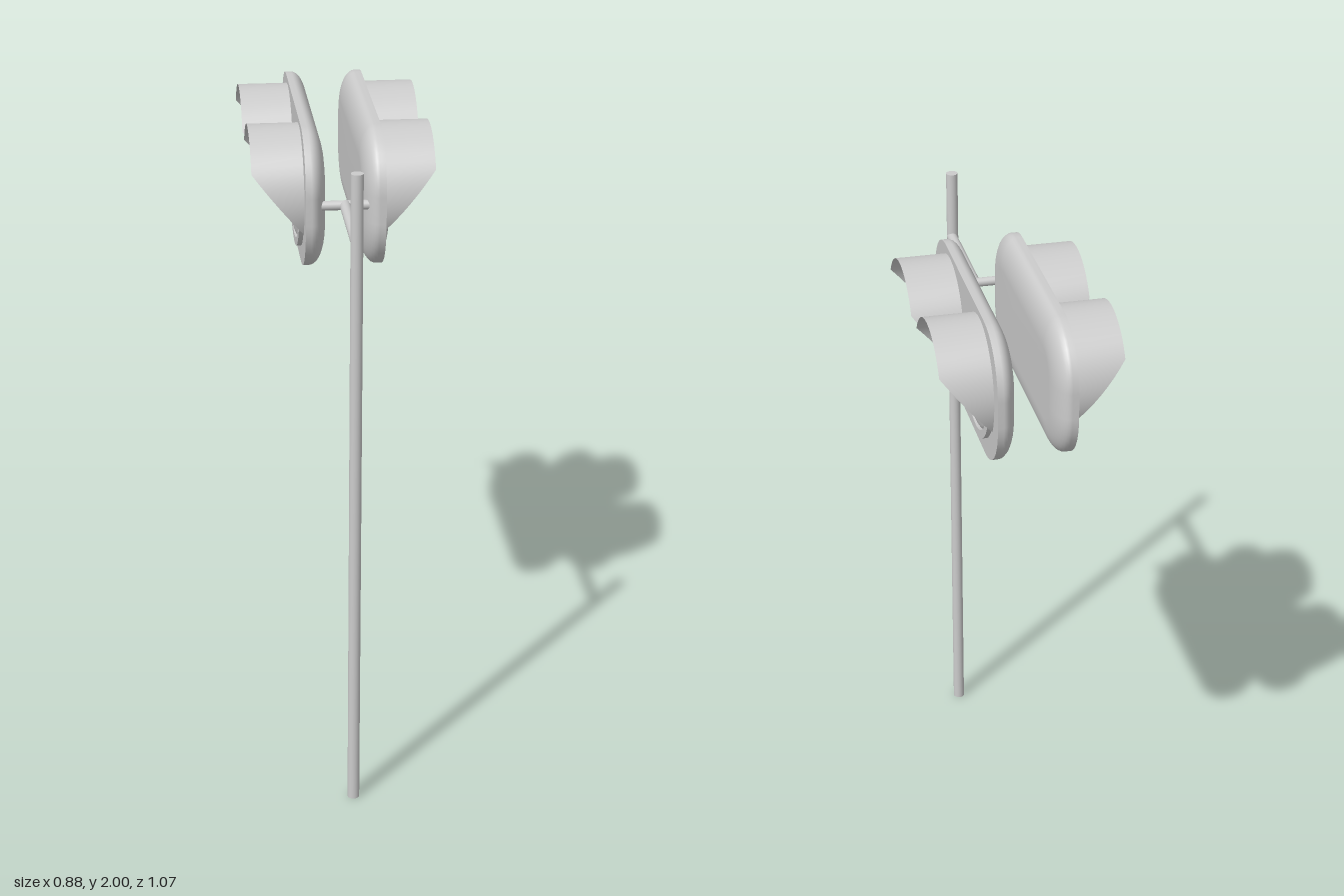
import * as THREE from 'three';

const grey = new THREE.MeshStandardMaterial({ color: 0xcccccc });
const thin = new THREE.MeshStandardMaterial({ color: 0xcccccc, side: THREE.DoubleSide });

function add(parent, name, geometry, material = grey) {
  const mesh = new THREE.Mesh(geometry, material);
  mesh.name = name;
  parent.add(mesh);
  return mesh;
}

// Counter-clockwise rounded rectangle, drawn in by an inset
function outline(inset) {
  const halfW = 0.433, halfH = 0.21, corner = 0.17, steps = 10, points = [];
  for (let c = 0; c < 4; c++) {
    const sx = c === 0 || c === 3 ? 1 : -1, sy = c < 2 ? 1 : -1;
    for (let k = 0; k <= steps; k++) {
      const t = (c + k / steps) * Math.PI / 2;
      points.push(new THREE.Vector2(
        sx * (halfW - corner) + (corner - inset) * Math.cos(t),
        sy * (halfH - corner) + (corner - inset) * Math.sin(t)));
    }
  }
  return points;
}

// Housing shell: short straight wall, then an elliptical shoulder to the back
function shellGeometry() {
  const sections = [[0, 0], [0, -0.018]];
  for (let k = 1; k <= 10; k++) {
    const t = k / 10 * Math.PI / 2;
    sections.push([0.1 * (1 - Math.cos(t)), -0.018 - 0.046 * Math.sin(t)]);
  }
  const pos = [], index = [];
  let n = 0;
  for (const [inset, z] of sections) {
    const ring = outline(inset);
    n = ring.length;
    for (const p of ring) pos.push(p.x, p.y, z);
  }
  const last = (sections.length - 1) * n, centre = pos.length / 3;
  pos.push(0, 0, -0.064);
  for (let j = 0; j < n; j++) {
    const k = (j + 1) % n;
    for (let i = 0; i < last; i += n) {
      index.push(i + j, i + n + j, i + k, i + k, i + n + j, i + n + k);
    }
    index.push(centre, last + k, last + j);
  }
  const g = new THREE.BufferGeometry();
  g.setAttribute('position', new THREE.Float32BufferAttribute(pos, 3));
  g.setIndex(index);
  g.computeVertexNormals();
  return g;
}

// Hood: full depth over the top, cut back along a slant at the sides
function visorGeometry() {
  const r = 0.187, depth = 0.151;
  const g = new THREE.PlaneGeometry(1, 1, 32, 1);
  const p = g.attributes.position;
  for (let i = 0; i < p.count; i++) {
    const t = p.getX(i) * Math.PI * 4 / 3;
    const reach = THREE.MathUtils.clamp(Math.cos(t) + 0.5, 0, 1);
    p.setXYZ(i, r * Math.sin(t), r * Math.cos(t), (p.getY(i) + 0.5) * depth * reach);
  }
  g.computeVertexNormals();
  return g;
}

// Lens with a raised rim and a hood
function createLamp() {
  const lamp = new THREE.Group();
  lamp.name = 'lamp';
  const rim = [[0.152, 0], [0.152, 0.014], [0.176, 0.014], [0.176, 0]]
    .map(([r, y]) => new THREE.Vector2(r, y));
  const ring = new THREE.LatheGeometry(rim, 48).toNonIndexed();
  ring.computeVertexNormals();
  add(lamp, 'lensRim', ring, thin).rotation.x = Math.PI / 2;
  const dome = [];
  for (let k = 0; k <= 8; k++) {
    const t = k / 8 * Math.PI / 2;
    dome.push(new THREE.Vector2(0.152 * Math.cos(t), 0.03 * Math.sin(t)));
  }
  add(lamp, 'lens', new THREE.LatheGeometry(dome, 48), thin).rotation.x = Math.PI / 2;
  add(lamp, 'visor', visorGeometry(), thin);
  return lamp;
}

// One signal head facing its own +z
function createHead(name) {
  const head = new THREE.Group();
  head.name = name;
  add(head, 'housing', shellGeometry());
  add(head, 'facePlate', new THREE.ShapeGeometry(new THREE.Shape(outline(0))));
  for (const side of [-1, 1]) {
    const lamp = createLamp();
    lamp.position.set(side * 0.2, 0.005, 0);
    head.add(lamp);
  }
  return head;
}

export function createModel() {
  const model = new THREE.Group();
  model.name = 'signalPost';
  const body = new THREE.Group();
  body.name = 'assembly';
  body.rotation.y = Math.PI / 5;
  model.add(body);

  const midX = 0.042, postZ = 0.666, barZ = 0.318, barY = 1.785;

  // Post
  add(body, 'post', new THREE.CylinderGeometry(0.018, 0.018, 2, 24)).position.set(midX - 0.003, 1, postZ);

  // Arm from the post, and the crossbar that carries both heads
  const arm = add(body, 'arm', new THREE.CylinderGeometry(0.016, 0.016, postZ - barZ, 20));
  arm.rotation.x = Math.PI / 2;
  arm.position.set(midX, barY, (postZ + barZ) / 2);
  const bar = add(body, 'crossbar', new THREE.CylinderGeometry(0.014, 0.014, 0.21, 20));
  bar.rotation.z = Math.PI / 2;
  bar.position.set(midX, barY, barZ);

  // Two heads back to back
  for (const side of [-1, 1]) {
    const head = createHead(side > 0 ? 'leftHead' : 'rightHead');
    head.rotation.y = side * Math.PI / 2;
    head.position.set(midX + side * 0.117, 1.775, -0.078);
    body.add(head);
  }
  return model;
}
